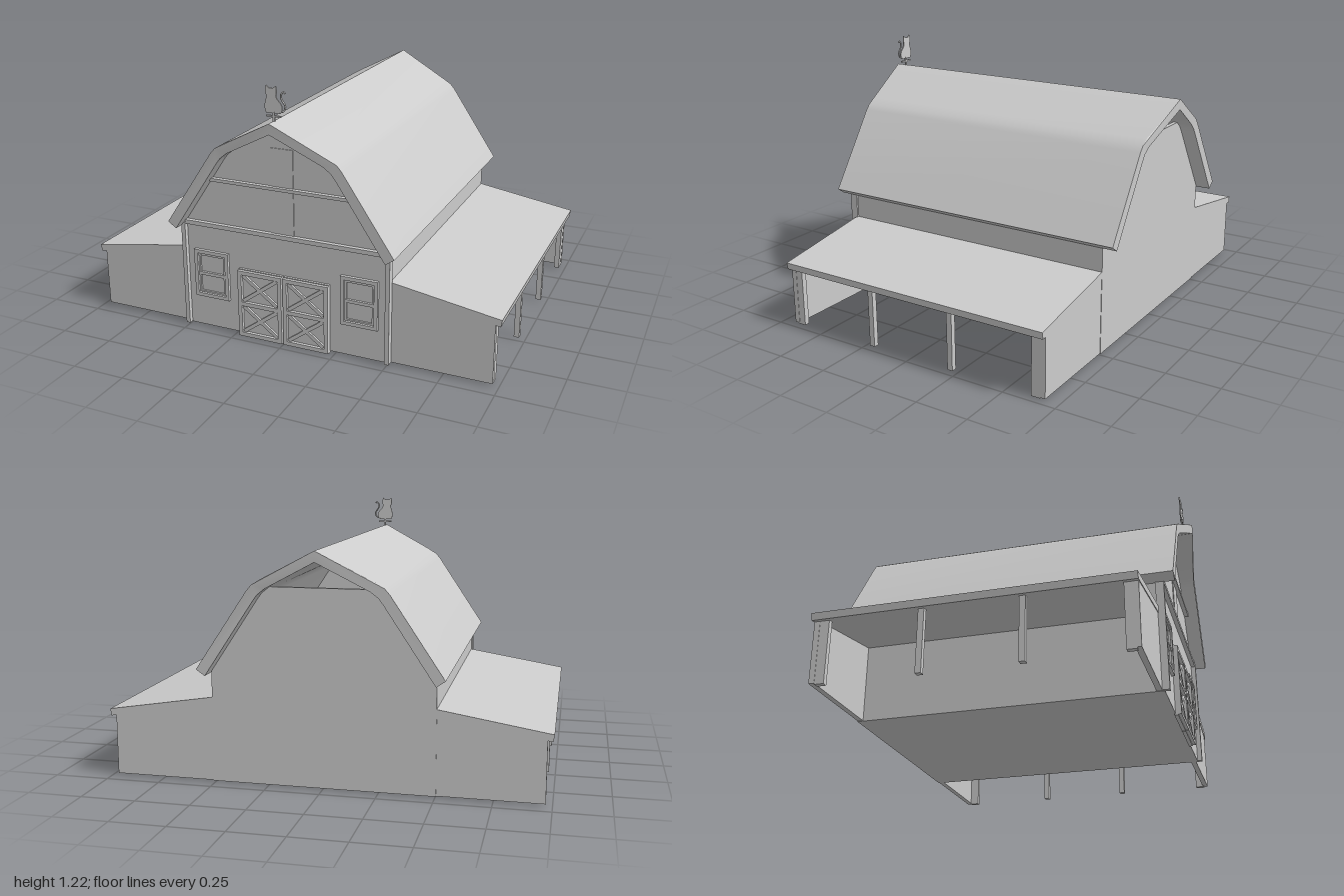
import * as THREE from 'three';
import { toCreasedNormals } from 'three/addons/utils/BufferGeometryUtils.js';

const mat = new THREE.MeshStandardMaterial({ color: 0xcccccc, side: THREE.DoubleSide });

// Right half of the gambrel outline, eave to ridge
const outer = [[0.55, 0.535], [0.312, 0.89], [0.29, 0.915], [0.25, 0.94], [0, 1.07]];
const inner = [[0.51, 0.507], [0.285, 0.845], [0.265, 0.872], [0.23, 0.9], [0, 1.022]];
const mirror = (half) => [...half, ...half.slice().reverse().filter((p) => p[0] > 0).map(([x, y]) => [-x, y])];

function shapeOf(points) {
  return new THREE.Shape(points.map(([x, y]) => new THREE.Vector2(x, y)));
}

function plate(shape, z0, z1) {
  const geo = new THREE.ExtrudeGeometry(shape, { depth: z1 - z0, bevelEnabled: false, curveSegments: 8 });
  return geo.translate(0, 0, z0);
}

function add(parent, name, geo) {
  const mesh = new THREE.Mesh(geo, mat);
  mesh.name = name;
  parent.add(mesh);
  return mesh;
}

// Box given by its minimum and maximum on each axis
function block(parent, name, x0, x1, y0, y1, z0, z1) {
  const mesh = add(parent, name, new THREE.BoxGeometry(x1 - x0, y1 - y0, z1 - z0));
  mesh.position.set((x0 + x1) / 2, (y0 + y1) / 2, (z0 + z1) / 2);
  return mesh;
}

// Rectangular border of boards
function border(parent, name, x0, x1, y0, y1, z0, z1, w) {
  const frame = shapeOf([[x0, y0], [x1, y0], [x1, y1], [x0, y1]]);
  frame.holes.push(shapeOf([[x0 + w, y0 + w], [x0 + w, y1 - w], [x1 - w, y1 - w], [x1 - w, y0 + w]]));
  add(parent, name, plate(frame, z0, z1));
}

function buildRoof(parent) {
  const loop = [...mirror(outer), ...mirror(inner).reverse()];
  const geo = plate(shapeOf(loop), -1, 1);
  // The ends lean outward towards the ridge
  const p = geo.attributes.position;
  for (let i = 0; i < p.count; i++) {
    const reach = 0.76 + 0.04 * Math.max(0, 1 - Math.abs(p.getX(i)) / 0.25);
    p.setZ(i, Math.sign(p.getZ(i)) * reach);
  }
  add(parent, 'mainRoof', toCreasedNormals(geo, 0.5));
}

function buildBody(parent) {
  const foot = [[0.505, 0.01], [0.505, 0.514]];
  add(parent, 'frontWall', plate(shapeOf(mirror([...foot, ...inner.slice(1)])), 0.665, 0.69));
  // The back wall stops level with the knee, leaving the peak open
  add(parent, 'backWall', plate(shapeOf(mirror([...foot, ...inner.slice(1, 4)])), -0.69, -0.67));
  block(parent, 'floor', -0.505, 0.505, 0.008, 0.02, -0.69, 0.69);
  for (const s of [-1, 1]) {
    block(parent, 'sideWall', s * 0.495 - 0.01, s * 0.495 + 0.01, 0.01, 0.52, -0.69, 0.69);
    block(parent, 'cornerBoard', s * 0.503 - 0.01, s * 0.503 + 0.01, 0.01, 0.52, 0.675, 0.712);
  }
  block(parent, 'lowerBand', -0.493, 0.493, 0.515, 0.535, 0.685, 0.71);
  block(parent, 'upperBand', -0.352, 0.352, 0.74, 0.755, 0.685, 0.71);
  // Loft hatches on the gable
  block(parent, 'lowerHatch', -0.055, 0.055, 0.535, 0.74, 0.685, 0.694);
  block(parent, 'upperHatch', -0.055, 0.055, 0.755, 0.93, 0.685, 0.694);
}

function buildDoor(s) {
  const door = new THREE.Group();
  door.name = 'barnDoor';
  const x0 = s > 0 ? 0.004 : -0.225;
  const x1 = x0 + 0.221;
  block(door, 'doorPanel', x0, x1, 0, 0.335, 0.685, 0.702);
  for (const y0 of [0.004, 0.158]) {
    const y1 = y0 + 0.173;
    border(door, 'doorFrame', x0, x1, y0, y1, 0.7, 0.717, 0.019);
    // Crossed braces
    const w = 0.183, h = 0.135;
    for (const d of [-1, 1]) {
      const brace = add(door, 'doorBrace', new THREE.BoxGeometry(Math.hypot(w, h) - 0.015, 0.017, 0.011));
      brace.position.set((x0 + x1) / 2, (y0 + y1) / 2, 0.707 + d * 0.0005);
      brace.rotation.z = d * Math.atan2(h, w);
    }
  }
  return door;
}

function buildWindow(s) {
  const win = new THREE.Group();
  win.name = 'window';
  border(win, 'windowFrame', -0.088, 0.088, 0.16, 0.393, 0.685, 0.705, 0.017);
  border(win, 'windowSash', -0.068, 0.068, 0.18, 0.373, 0.685, 0.699, 0.008);
  block(win, 'windowBar', -0.068, 0.068, 0.268, 0.283, 0.685, 0.701);
  win.position.x = s * 0.368;
  return win;
}

function buildLeanTo(s) {
  const side = new THREE.Group();
  side.name = s > 0 ? 'leftLeanTo' : 'rightLeanTo';
  const at = (pts) => shapeOf(pts.map(([x, y]) => [s * x, y]));
  const roof = at([[0.5, 0.364], [0.995, 0.283], [1, 0.315], [0.5, 0.396]]);
  add(side, 'leanToRoof', plate(roof, -0.69, 0.683));
  const wall = at([[0.505, 0.01], [0.972, 0.01], [0.972, 0.29], [0.505, 0.366]]);
  add(side, 'leanToFrontWall', plate(wall, 0.655, 0.68));
  add(side, 'leanToBackWall', plate(wall, -0.688, -0.663));
  // Posts along the open side
  for (const [z, w] of [[0.642, 0.042], [0.214, 0.026], [-0.214, 0.026], [-0.642, 0.042]]) {
    block(side, 'post', s * 0.958 - 0.0125, s * 0.958 + 0.0125, 0.005, 0.3, z - w / 2, z + w / 2);
  }
  return side;
}

function buildWeathervane() {
  const vane = new THREE.Group();
  vane.name = 'weathervane';
  block(vane, 'vanePole', -0.004, 0.004, 1.04, 1.11, -0.004, 0.004);
  block(vane, 'vaneBar', -0.034, 0.034, 1.087, 1.094, -0.004, 0.004);
  // Sitting cat silhouette
  const cat = new THREE.Shape();
  cat.moveTo(-0.035, 1.104);
  cat.lineTo(0.03, 1.104);
  cat.quadraticCurveTo(0.05, 1.125, 0.032, 1.15);
  cat.quadraticCurveTo(0.014, 1.165, 0.012, 1.18);
  cat.quadraticCurveTo(0.018, 1.195, 0.012, 1.222);
  cat.lineTo(-0.002, 1.211);
  cat.lineTo(-0.02, 1.211);
  cat.lineTo(-0.034, 1.222);
  cat.quadraticCurveTo(-0.042, 1.19, -0.03, 1.175);
  cat.quadraticCurveTo(-0.05, 1.13, -0.035, 1.104);
  add(vane, 'catFigure', plate(cat, -0.003, 0.003));
  const tail = new THREE.CatmullRomCurve3(
    [[0.025, 1.108], [0.048, 1.118], [0.054, 1.14], [0.038, 1.165], [0.035, 1.185], [0.048, 1.199], [0.054, 1.192]]
      .map(([x, y]) => new THREE.Vector3(x, y, 0)));
  add(vane, 'catTail', new THREE.TubeGeometry(tail, 24, 0.004, 6));
  vane.position.z = 0.75;
  return vane;
}

export function createModel() {
  const barn = new THREE.Group();
  barn.name = 'barn';
  buildBody(barn);
  buildRoof(barn);
  for (const s of [-1, 1]) barn.add(buildDoor(s), buildWindow(s), buildLeanTo(s));
  barn.add(buildWeathervane());
  return barn;
}
